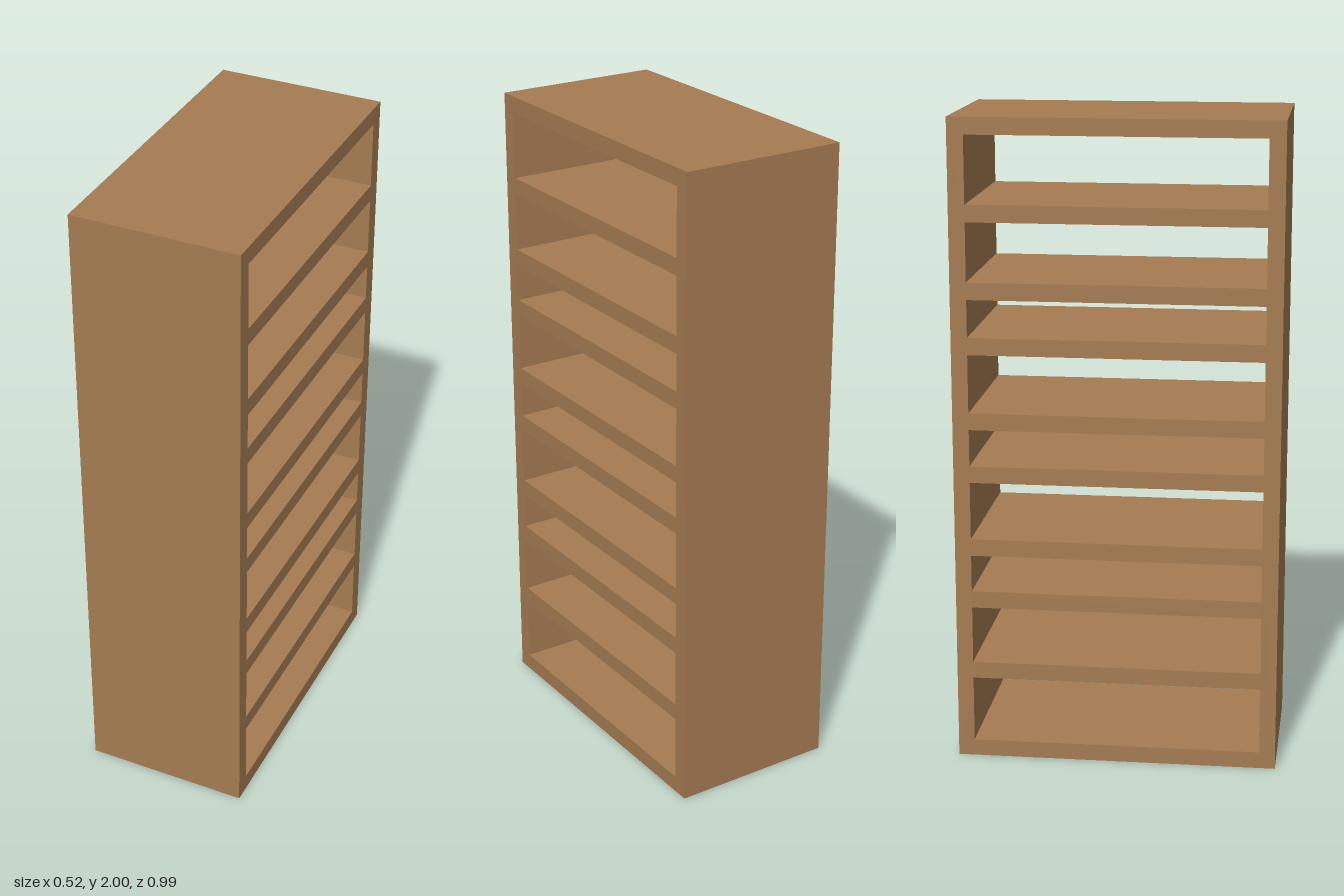
import * as THREE from 'three';

export function createModel() {
  const group = new THREE.Group();
  group.name = 'shelfUnit';
  const wood = new THREE.MeshStandardMaterial({ color: 0xa67c52 });
  wood.name = 'wood';

  const height = 2, halfLength = 0.497, depth = 0.518, board = 0.05;
  const rect = (target, half, y0, y1) => {
    target.moveTo(-half, y0);
    target.lineTo(half, y0);
    target.lineTo(half, y1);
    target.lineTo(-half, y1);
    target.closePath();
    return target;
  };

  // Outer frame outline with one through opening per compartment
  const outline = rect(new THREE.Shape(), halfLength, 0, height);
  const compartments = [
    [0.052, 0.259], [0.311, 0.49], [0.543, 0.658],
    [0.711, 0.891], [0.943, 1.057], [1.109, 1.289],
    [1.342, 1.457], [1.51, 1.69], [1.742, 1.948],
  ];
  for (const [bottom, top] of compartments) {
    outline.holes.push(rect(new THREE.Path(), halfLength - board, bottom, top));
  }

  // Extrude through the depth, then turn the openings to face left and right
  const geometry = new THREE.ExtrudeGeometry(outline, { depth, bevelEnabled: false });
  geometry.translate(0, 0, -depth / 2);
  geometry.rotateY(Math.PI / 2);
  const frame = new THREE.Mesh(geometry, wood);
  frame.name = 'frameAndShelves';
  group.add(frame);
  return group;
}
